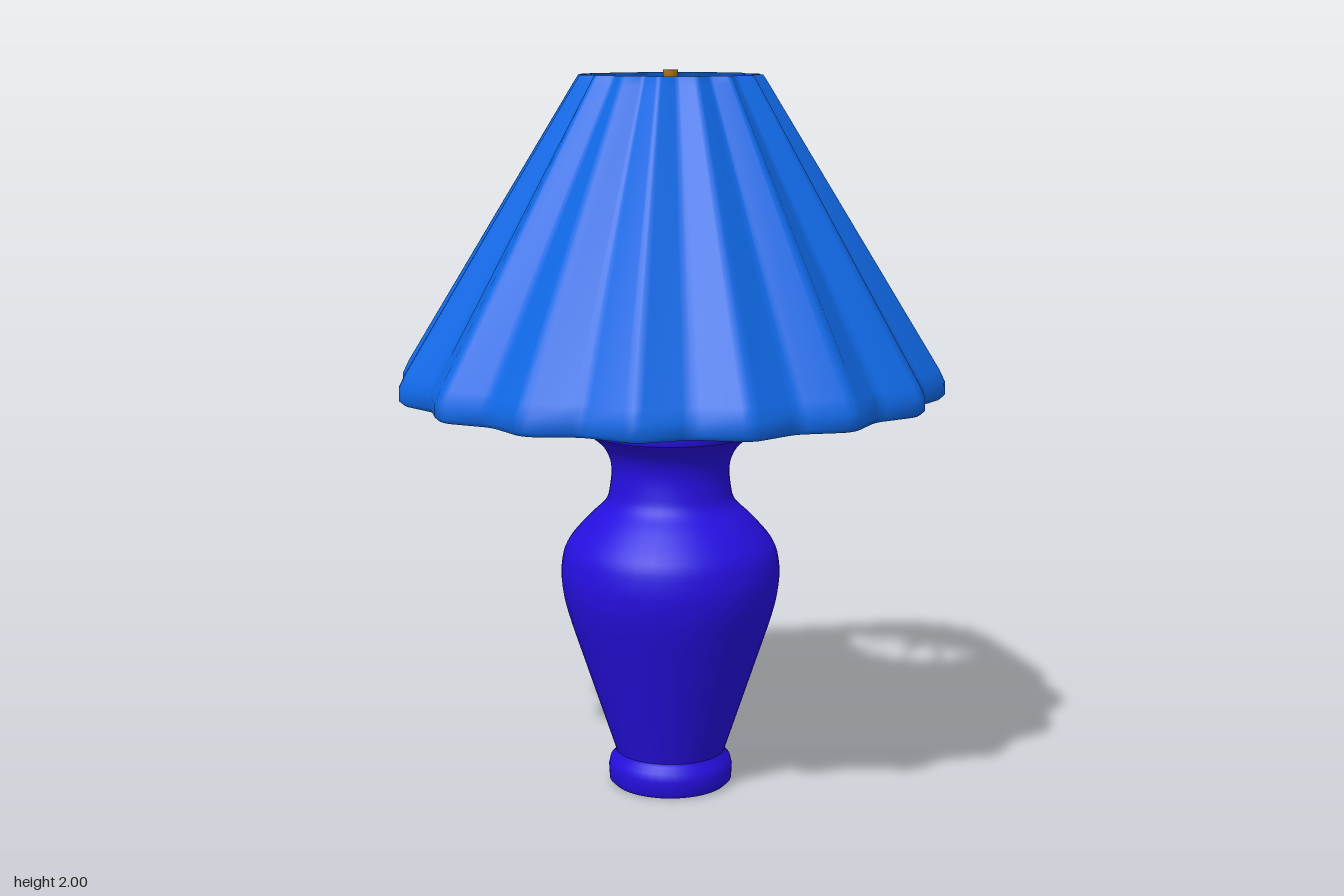
import * as THREE from 'three';

const mat = (color, side = THREE.FrontSide) => new THREE.MeshStandardMaterial({ color, side });

// Pleated shade: rings of [valley radius, peak radius, height] around 16 pleats
function pleatedShade(rings, pleats) {
  const steps = [[0, 0], [0.08, 0.08], [0.42, 0.93], [0.5, 1], [0.58, 0.93], [0.92, 0.08]];
  const n = pleats * steps.length, pos = [], index = [];
  rings.forEach(([valley, peak, y], j) => {
    for (let i = 0; i < n; i++) {
      const [t, k] = steps[i % steps.length];
      const a = (Math.floor(i / steps.length) + t) * 2 * Math.PI / pleats;
      const r = valley + (peak - valley) * k;
      pos.push(r * Math.sin(a), y, r * Math.cos(a));
      if (j > 0) {
        const b = (i + 1) % n, lo = (j - 1) * n, hi = j * n;
        index.push(lo + i, lo + b, hi + b, lo + i, hi + b, hi + i);
      }
    }
  });
  const g = new THREE.BufferGeometry();
  g.setAttribute('position', new THREE.Float32BufferAttribute(pos, 3));
  g.setIndex(index);
  g.computeVertexNormals();
  return g;
}

export function createModel() {
  const lamp = new THREE.Group();
  const blue = mat(0x1068e6, THREE.DoubleSide);
  const violet = mat(0x260fe0);
  const brass = mat(0xb57a10);
  const green = mat(0x14dc14);

  const add = (name, geometry, material, x = 0, y = 0, z = 0) => {
    const m = new THREE.Mesh(geometry, material);
    m.name = name;
    m.position.set(x, y, z);
    lamp.add(m);
    return m;
  };
  const lathe = (pts, seg = 40) =>
    new THREE.LatheGeometry(pts.map(([r, y]) => new THREE.Vector2(r, y)), seg);

  // Vase: foot, belly, neck and lip
  add('foot', lathe([[0, 0], [0.16, 0], [0.16, 0], [0.173, 0.012], [0.175, 0.05], [0.17, 0.072], [0.155, 0.088], [0.153, 0.1]]), violet);
  const belly = new THREE.SplineCurve([
    [0.153, 0.095], [0.188, 0.2], [0.238, 0.35], [0.287, 0.5], [0.304, 0.58], [0.304, 0.64], [0.287, 0.7],
    [0.23, 0.768], [0.182, 0.815], [0.168, 0.86], [0.165, 0.92], [0.185, 0.97], [0.23, 1.01],
  ].map(p => new THREE.Vector2(...p)));
  add('vaseBody', new THREE.LatheGeometry(belly.getPoints(48), 40), violet);
  add('vaseLip', lathe([[0.23, 1.01], [0.236, 1.03], [0.23, 1.043], [0.2, 1.052], [0.155, 1.056], [0.155, 1.056], [0.148, 1.075], [0.125, 1.087], [0.125, 1.087], [0, 1.087]]), violet);

  // Socket assembly
  add('collar', lathe([[0, 1.08], [0.065, 1.08], [0.065, 1.08], [0.065, 1.115], [0.065, 1.115], [0.03, 1.13], [0.026, 1.15], [0.045, 1.165]], 24), brass);
  add('socket', new THREE.CylinderGeometry(0.045, 0.045, 0.15, 24), brass, 0, 1.24);

  // Bulb: flared neck into a round top
  const bulb = new THREE.SplineCurve([
    [0.03, 1.31], [0.037, 1.34], [0.058, 1.39], [0.076, 1.44], [0.078, 1.48], [0.06, 1.53], [0.03, 1.552], [0, 1.558],
  ].map(p => new THREE.Vector2(...p)));
  add('bulb', new THREE.LatheGeometry(bulb.getPoints(24), 28), green);

  // Harp: a wire loop around the bulb, in the x direction
  const half = [[0.05, 1.1], [0.085, 1.12], [0.13, 1.19], [0.153, 1.28], [0.155, 1.45], [0.153, 1.68], [0.135, 1.81], [0.08, 1.89]];
  const loop = [...half, [0, 1.91], ...half.slice().reverse().map(([x, y]) => [-x, y])];
  const path = new THREE.CatmullRomCurve3(loop.map(([x, y]) => new THREE.Vector3(x, y, 0)));
  add('harp', new THREE.TubeGeometry(path, 90, 0.011, 8), brass);

  // Spider rod holding the shade, and the finial
  add('shadeRod', new THREE.CylinderGeometry(0.006, 0.006, 0.45, 8), brass, 0, 1.96).rotation.x = Math.PI / 2;
  add('finial', lathe([[0, 1.895], [0.03, 1.895], [0.03, 1.895], [0.03, 1.92], [0.03, 1.92], [0.014, 1.925], [0.014, 1.945], [0.028, 1.95], [0.028, 1.968], [0.014, 1.975], [0.02, 1.985], [0.02, 2], [0.02, 2], [0, 2]], 20), brass);

  // Shade with a small turned-in hem at the bottom
  add('shade', pleatedShade([
    [0.685, 0.72, 1.125], [0.695, 0.738, 1.118], [0.708, 0.752, 1.13], [0.708, 0.752, 1.165],
    [0.69, 0.735, 1.2], [0.236, 0.265, 1.965], [0.225, 0.25, 1.988],
  ], 16), blue);

  return lamp;
}
